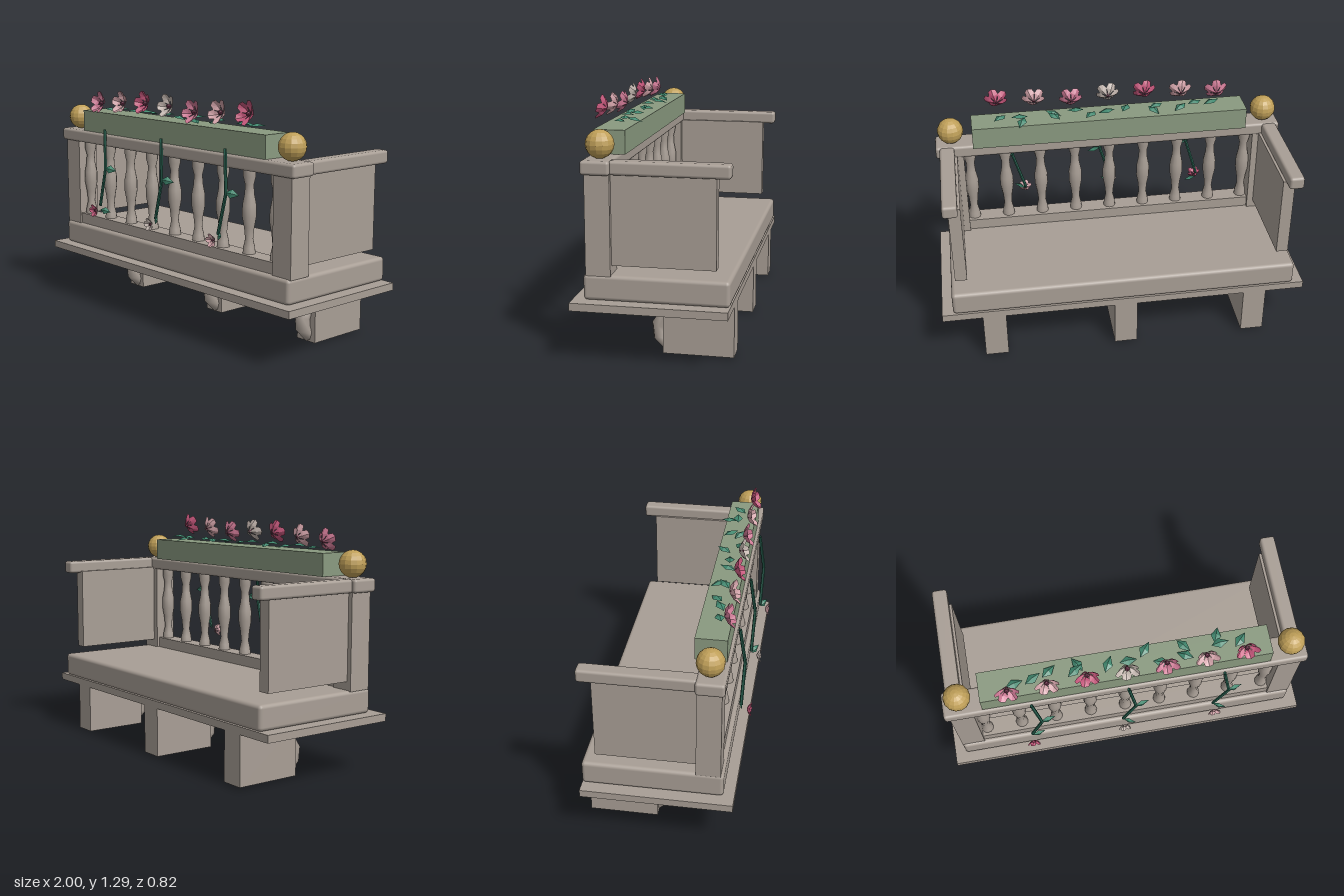
import * as THREE from 'three';
import { RoundedBoxGeometry } from 'three/addons/geometries/RoundedBoxGeometry.js';

const mat = (name, color, opts = {}) => new THREE.MeshStandardMaterial({ name, color, ...opts });

export function createModel() {
  const model = new THREE.Group();
  model.name = 'balcony';
  const thin = { side: THREE.DoubleSide, flatShading: true };
  const stone = mat('stone', 0xa89e95);
  const planterGreen = mat('planter green', 0x8a9a80);
  const gold = mat('gold', 0xbf9f58, { flatShading: true });
  const leafGreen = mat('leaf green', 0x41886f, thin);
  const stemGreen = mat('stem green', 0x286150, thin);
  const rose = mat('rose', 0xc25579, thin);
  const pink = mat('pink', 0xc87590, thin);
  const blush = mat('blush', 0xcfa0a6, thin);
  const cream = mat('cream', 0xc2b5ae, thin);
  const heart = mat('flower heart', 0x743650, { flatShading: true });

  const add = (name, geometry, material, parent = model) => {
    const mesh = new THREE.Mesh(geometry, material);
    mesh.name = name;
    parent.add(mesh);
    return mesh;
  };
  // Box given by its limits on each axis, optionally with soft edges
  const block = (name, [x0, x1], [y0, y1], [z0, z1], material = stone, radius = 0) => {
    const size = [x1 - x0, y1 - y0, z1 - z0];
    const geo = radius ? new RoundedBoxGeometry(...size, 2, radius) : new THREE.BoxGeometry(...size);
    add(name, geo, material).position.set((x0 + x1) / 2, (y0 + y1) / 2, (z0 + z1) / 2);
  };

  // Floor and front rails
  block('floorSlab', [-1, 1], [0.285, 0.325], [-0.41, 0.37]);
  block('base', [-0.94, 0.94], [0.325, 0.455], [-0.41, 0.315], stone, 0.02);
  block('bottomRail', [-0.82, 0.82], [0.45, 0.515], [0.19, 0.29]);
  block('topRail', [-0.965, 0.965], [0.95, 1.02], [0.17, 0.315], stone, 0.015);
  block('planter', [-0.76, 0.76], [1.02, 1.14], [0.14, 0.3], planterGreen);

  // Posts, side walls, handrails and ball finials
  for (const s of [-1, 1]) {
    const span = (a, b) => (s > 0 ? [a, b] : [-b, -a]);
    block('post', span(0.815, 0.94), [0.45, 0.96], [0.175, 0.3]);
    block('sideWall', span(0.85, 0.915), [0.5, 0.96], [-0.34, 0.18]);
    block('sideRail', span(0.863, 0.943), [0.95, 1.02], [-0.41, 0.18], stone, 0.015);
    add('finial', new THREE.SphereGeometry(0.071, 14, 10), gold).position.set(s * 0.877, 1.09, 0.235);
  }

  // Turned balusters
  const profile = [[0.034, 0.515], [0.031, 0.545], [0.021, 0.59], [0.027, 0.65], [0.037, 0.705],
    [0.037, 0.765], [0.026, 0.82], [0.023, 0.87], [0.033, 0.91], [0.034, 0.95]];
  const balusterGeo = new THREE.LatheGeometry(profile.map(p => new THREE.Vector2(...p)), 12);
  for (let i = -4; i <= 4; i++) {
    add('baluster', balusterGeo, stone).position.set(i * 0.196, 0, 0.24);
  }

  // Supporting brackets with a scroll on the front
  const scrollGeo = new THREE.TorusGeometry(0.085, 0.04, 8, 9);
  for (const x of [-0.725, 0, 0.722]) {
    block('bracket', [x - 0.063, x + 0.063], [0.02, 0.29], [-0.41, -0.05]);
    const scroll = add('scroll', scrollGeo, stone);
    scroll.position.set(x, 0.13, -0.103);
    scroll.rotation.set(0, Math.PI / 2, 0);
    scroll.rotation.z = 0.1;
  }

  // Cupped petal growing along +y and curling toward +z
  const petalGeo = new THREE.BufferGeometry();
  petalGeo.setAttribute('position', new THREE.Float32BufferAttribute([
    0, 0.006, 0, -0.027, 0.036, 0.027, 0, 0.04, 0.014, 0.027, 0.036, 0.027,
    -0.022, 0.058, 0.042, 0, 0.068, 0.042, 0.022, 0.058, 0.042], 3));
  petalGeo.setIndex([0, 2, 1, 0, 3, 2, 1, 2, 4, 2, 5, 4, 2, 3, 6, 2, 6, 5]);
  petalGeo.computeVertexNormals();
  const heartGeo = new THREE.IcosahedronGeometry(0.015, 0);

  const flower = (name, material, pos, scale, tilt, spin) => {
    const group = new THREE.Group();
    group.name = name;
    for (let i = 0; i < 5; i++) {
      add('petal', petalGeo, material, group).rotation.z = spin + i * Math.PI * 0.4;
    }
    add('flowerHeart', heartGeo, heart, group).position.z = 0.014;
    group.position.set(...pos);
    group.rotation.x = tilt;
    group.scale.setScalar(scale);
    model.add(group);
  };

  // Pointed leaf along +x, folded on its midrib
  const leafGeo = new THREE.BufferGeometry();
  leafGeo.setAttribute('position', new THREE.Float32BufferAttribute([
    0, 0, 0, 0.05, 0.012, 0, 0.1, -0.006, 0, 0.045, 0, 0.028, 0.045, 0, -0.028], 3));
  leafGeo.setIndex([0, 3, 1, 1, 3, 2, 0, 1, 4, 1, 2, 4]);
  leafGeo.computeVertexNormals();
  const leaf = (pos, rotation, scale = 1) => {
    const mesh = add('leaf', leafGeo, leafGreen);
    mesh.position.set(...pos);
    mesh.rotation.set(...rotation);
    mesh.scale.setScalar(scale);
  };

  // Blossoms along the planter
  const heights = [1.185, 1.2, 1.215, 1.215, 1.2, 1.215, 1.225];
  const tones = [pink, blush, rose, cream, pink, blush, rose];
  tones.forEach((tone, i) => {
    flower('blossom', tone, [(i - 3) * 0.205, heights[i], 0.265], 0.98, -0.28, i * 0.15);
  });

  // Leaves lying on the planter: x, z, heading
  const leaves = [[-0.62, 0.25, 0.3], [-0.52, 0.25, 0.5], [-0.43, 0.23, 0.7], [-0.3, 0.25, 0.6],
    [-0.22, 0.23, 2.1], [-0.11, 0.26, 1.1], [-0.03, 0.22, 0.1], [0.08, 0.21, 0.9],
    [0.14, 0.24, -0.3], [0.28, 0.15, -0.9], [0.35, 0.26, 2.6], [0.45, 0.21, 0.1],
    [0.47, 0.2, 1.2], [0.57, 0.24, 0.8]];
  leaves.forEach(([x, z, a], i) => leaf([x, 1.158, z], [0, a, i % 2 ? 0.12 : -0.08], 0.95));

  // Hanging vines with two leaves and a small bloom
  [[-0.508, rose], [0, cream], [0.506, blush]].forEach(([x, tone], i) => {
    const points = [[0, 1.05, 0.333], [0.037, 0.83, 0.36], [-0.03, 0.61, 0.352]]
      .map(([dx, y, z]) => new THREE.Vector3(x + dx, y, z));
    const path = new THREE.CurvePath();
    path.add(new THREE.LineCurve3(points[0], points[1]));
    path.add(new THREE.LineCurve3(points[1], points[2]));
    add('vine', new THREE.TubeGeometry(path, 12, 0.009, 6), stemGreen);
    leaf([x + 0.03, 0.835, 0.36], [1.2, 0, -0.2], 0.85);
    leaf([x - 0.03, i ? 0.6 : 0.585, 0.352], [1.2, 0, i ? 0.6 : -0.2], 0.75);
    flower('hangingBloom', tone, [x - 0.028, 0.585, 0.382], 0.56, 0, 0.3);
  });

  return model;
}
